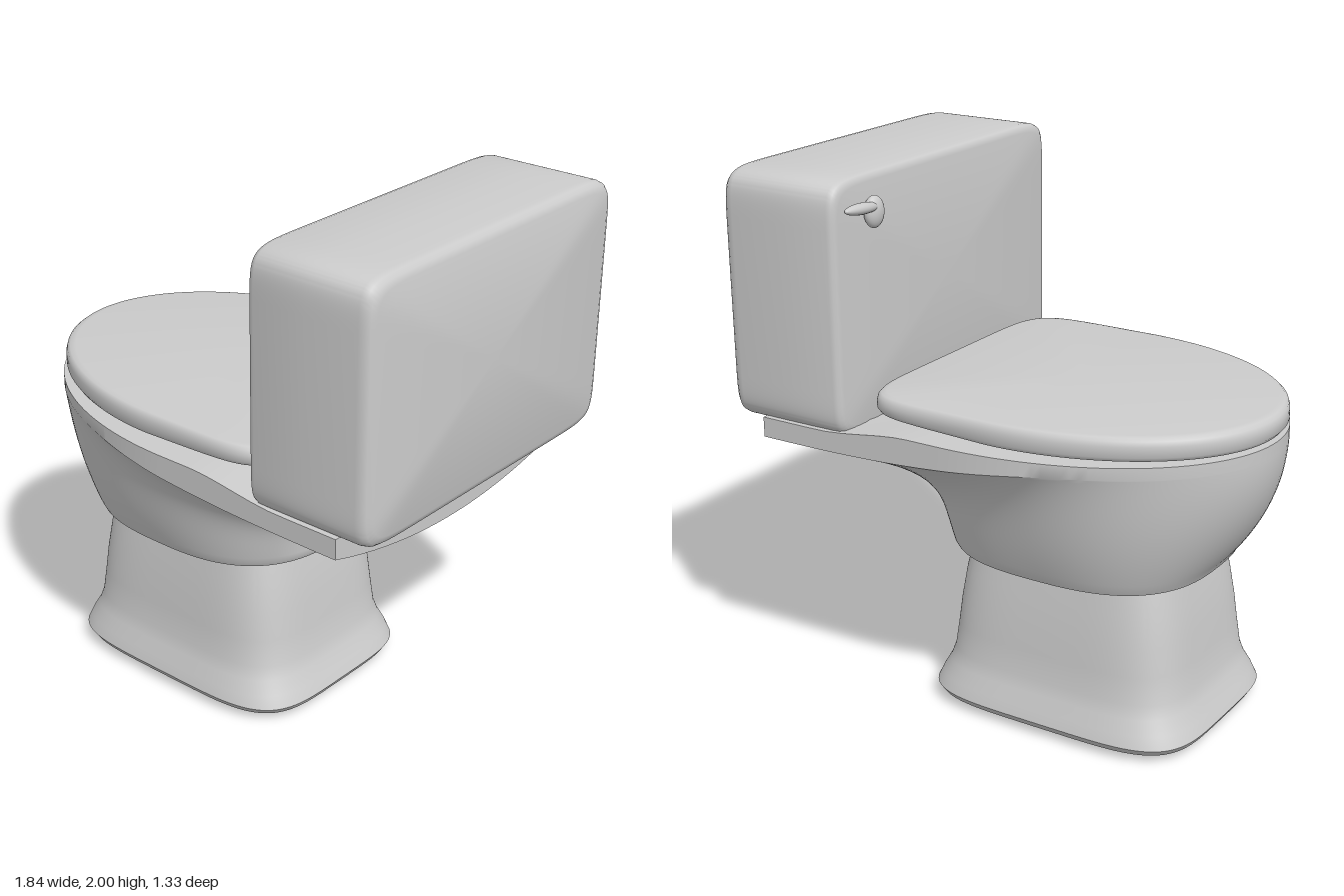
import * as THREE from 'three';
import { toCreasedNormals } from 'three/addons/utils/BufferGeometryUtils.js';

const material = new THREE.MeshStandardMaterial({ color: 0xcccccc, side: THREE.DoubleSide });
const { lerp, smoothstep } = THREE.MathUtils;
const SEGMENTS = 120;
const angles = Array.from({ length: SEGMENTS }, (_, i) => (i / SEGMENTS) * Math.PI * 2);

// Skin a list of closed rings (arrays of [x, y, z]) and cap both ends
function loft(name, rings, crease = 0.7) {
  const n = rings[0].length, positions = rings.flat(2), index = [];
  for (let r = 0; r < rings.length - 1; r++) {
    for (let i = 0; i < n; i++) {
      const j = (i + 1) % n, a = r * n + i, b = r * n + j;
      index.push(a, a + n, b, b, a + n, b + n);
    }
  }
  [0, rings.length - 1].forEach((r) => {
    const centre = positions.length / 3;
    for (let k = 0; k < 3; k++) positions.push(rings[r].reduce((sum, p) => sum + p[k], 0) / n);
    for (let i = 0; i < n; i++) {
      const a = r * n + i, b = r * n + (i + 1) % n;
      index.push(centre, ...(r === 0 ? [a, b] : [b, a]));
    }
  });
  const geometry = new THREE.BufferGeometry();
  geometry.setAttribute('position', new THREE.Float32BufferAttribute(positions, 3));
  geometry.setIndex(index);
  const mesh = new THREE.Mesh(toCreasedNormals(geometry, crease), material);
  mesh.name = name;
  return mesh;
}

// Point on a superellipse; a higher power n gives squarer corners
function superellipse(t, a, b, n) {
  const c = Math.cos(t), s = Math.sin(t);
  return [a * Math.sign(c) * Math.abs(c) ** (2 / n), b * Math.sign(s) * Math.abs(s) ** (2 / n)];
}

// Flared, rounded-square foot: [y, half length, half width]
function makePedestal() {
  const levels = [
    [0, 0.36, 0.3], [0.012, 0.47, 0.385], [0.03, 0.53, 0.42], [0.055, 0.545, 0.435],
    [0.1, 0.525, 0.422], [0.15, 0.498, 0.4], [0.2, 0.482, 0.386], [0.3, 0.468, 0.377],
    [0.4, 0.456, 0.368], [0.52, 0.437, 0.353], [0.64, 0.41, 0.335],
  ];
  return loft('pedestal', levels.map(([y, a, b]) => angles.map((t) => {
    const [x, z] = superellipse(t, a, b, 4.5);
    return [x - 0.225, y, z];
  })));
}

// Bowl: blends from a small oval base to a long rim with a square rear shelf
const BOWL_X = -0.22;

function rimRadius(t) {
  const c = Math.cos(t), s = Math.abs(Math.sin(t));
  const straight = Math.min(c > 0 ? 1.01 / c : Infinity, s > 0 ? 0.656 / s : Infinity);
  if (straight * c > 0.25) return straight;
  // Ray from the bowl centre to the front ellipse
  const A = 0.95, B = 0.656, d = -0.25;
  const qa = (c / A) ** 2 + (s / B) ** 2, qb = (d * c) / (A * A), qc = (d / A) ** 2 - 1;
  return (-qb + Math.sqrt(qb * qb - qa * qc)) / qa;
}

function baseRadius(t) {
  const n = 2.7;
  return (Math.abs(Math.cos(t) / 0.505) ** n + Math.abs(Math.sin(t) / 0.45) ** n) ** (-1 / n);
}

const rimHeight = (x) => 1.145 - 0.04 * smoothstep(x, 0.15, 0.55);

// Height at which the flared wall meets the vertical rim band
function bandHeight(t) {
  const fromRear = Math.acos(Math.cos(t)), corner = 0.576;
  if (fromRear < corner) return 0.93 + 0.1 * (Math.tan(fromRear) / Math.tan(corner)) ** 2;
  return lerp(1.03, 1.1, smoothstep(fromRear, corner, 2));
}

function makeBowl() {
  const at = (t, r, y) => {
    const x = BOWL_X + r * Math.cos(t);
    return [x, y ?? rimHeight(x), r * Math.sin(t)];
  };
  const rings = [[0.85, 0.612], [0.93, 0.616], [0.98, 0.626]].map(
    ([k, y]) => angles.map((t) => at(t, baseRadius(t) * k, y)));
  // Wall: convex towards the front, concave under the rear shelf
  const steps = 28;
  for (let i = 0; i <= steps; i++) {
    const v = 1 - (1 - i / steps) ** 1.5;
    rings.push(angles.map((t) => {
      const rear = (1 + Math.cos(t)) / 2;
      const flare = lerp(1 - (1 - v) ** 2, v ** 4.5, rear);
      return at(t, lerp(baseRadius(t), rimRadius(t), flare), lerp(0.645, bandHeight(t), v));
    }));
  }
  // Rim band and flat top
  for (const k of [1, 0.85, 0.7, 0.55, 0.4, 0.2, 0.05]) {
    rings.push(angles.map((t) => at(t, rimRadius(t) * k)));
  }
  return loft('bowl', rings, 0.6);
}

// Closed lid: half oval in front, rounded square corners at the back
function makeLid() {
  const levels = [[0.95, 1.153], [0.985, 1.157], [1, 1.172], [1, 1.21], [0.993, 1.228], [0.978, 1.238], [0.95, 1.241]];
  return loft('lid', levels.map(([k, y]) => angles.map((t) => {
    const front = Math.cos(t) < 0;
    const [x, z] = superellipse(t, front ? 0.82 : 0.52, 0.587, front ? 2 : 7);
    const lift = y < 1.19 ? 0.015 * smoothstep(x, -0.1, 0.5) : 0;
    return [x * k - 0.1, y + lift, z * k];
  })), 0.9);
}

// Cistern: softly rounded block built along x, [x, edge inset]
function makeTank() {
  const levels = [
    [0.43, 0.03], [0.433, 0.016], [0.441, 0.005], [0.458, 0], [0.67, 0],
    [0.87, 0], [0.893, 0.004], [0.907, 0.014], [0.915, 0.035],
  ];
  return loft('tank', levels.map(([x, inset]) => angles.map((t) => {
    const [z, y] = superellipse(t, 0.667 - inset, 0.46 - inset, 13);
    return [x, y + 1.54, z];
  })), 0.9);
}

// Flush handle: round knob and a slim tapered arm
function makeHandle() {
  const group = new THREE.Group();
  group.name = 'flushHandle';
  const parts = [
    ['handleKnob', [0.407, 1.867, -0.465], [0.029, 0.057, 0.045], 0],
    ['handleArm', [0.392, 1.896, -0.55], [0.024, 0.02, 0.105], 0.1],
  ];
  for (const [name, position, scale, turn] of parts) {
    const mesh = new THREE.Mesh(new THREE.SphereGeometry(1, 32, 20), material);
    mesh.name = name;
    mesh.position.set(...position);
    mesh.scale.set(...scale);
    mesh.rotation.set(turn, turn, 0);
    group.add(mesh);
  }
  // Short stem into the tank
  const stem = new THREE.Mesh(new THREE.CylinderGeometry(0.02, 0.02, 0.05, 24), material);
  stem.name = 'handleStem';
  stem.rotation.z = Math.PI / 2;
  stem.position.set(0.425, 1.87, -0.465);
  group.add(stem);
  return group;
}

export function createModel() {
  const model = new THREE.Group();
  model.name = 'toilet';
  model.add(makePedestal(), makeBowl(), makeLid(), makeTank(), makeHandle());
  return model;
}
